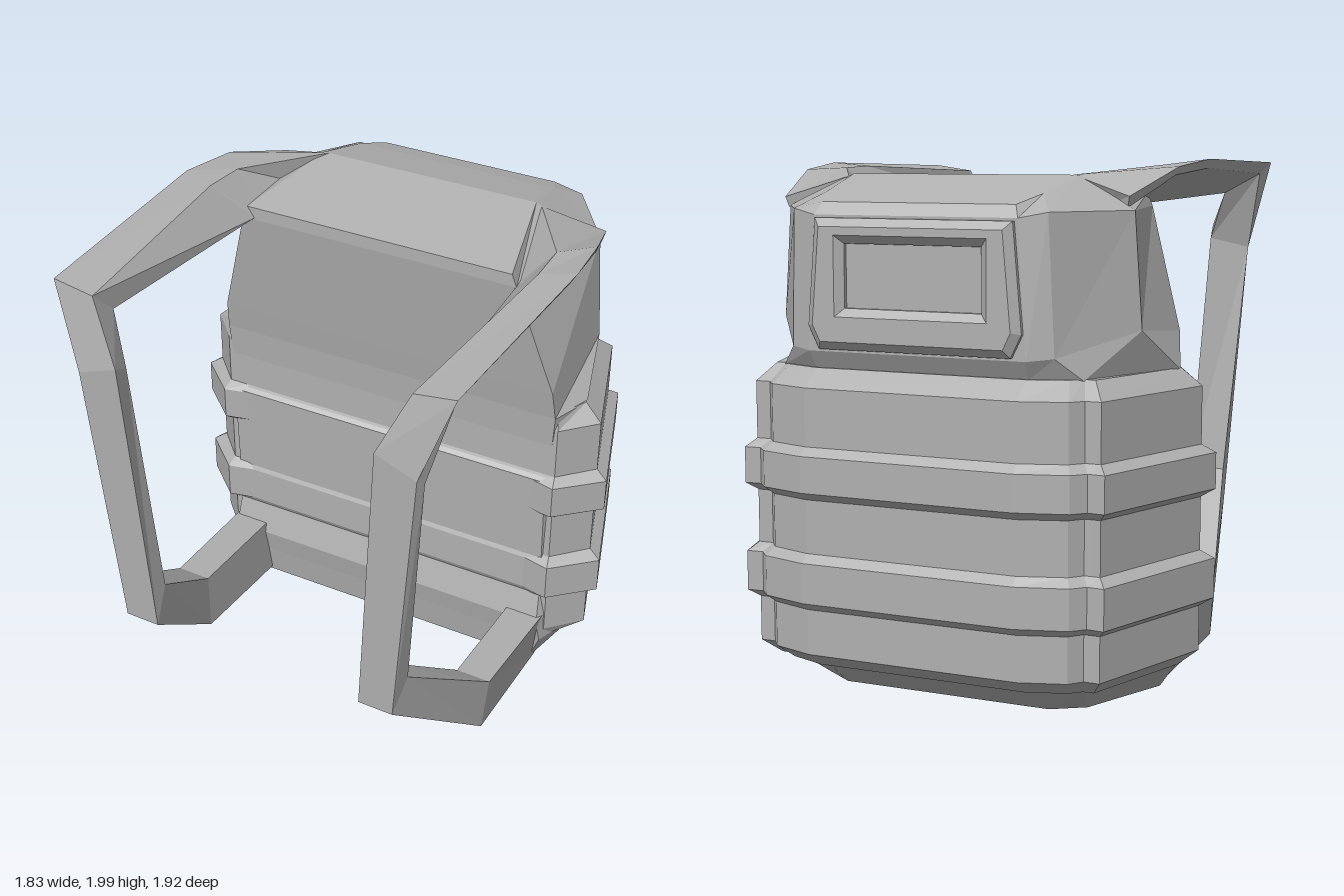
import * as THREE from 'three';

// Flat-faced skin through a stack of rings, with both ends closed by strips
function loft(rings) {
  const pos = [];
  const quad = (a, b, c, d) => [a, b, c, a, c, d].forEach(p => pos.push(...p));
  const n = rings[0].length;
  for (let i = 0; i < rings.length - 1; i++) {
    const lo = rings[i], hi = rings[i + 1];
    for (let j = 0; j < n; j++) {
      const k = (j + 1) % n;
      quad(lo[j], lo[k], hi[k], hi[j]);
    }
  }
  const first = rings[0], last = rings[rings.length - 1];
  for (let k = 0; k < n / 2 - 1; k++) {
    quad(last[k], last[k + 1], last[n - 2 - k], last[n - 1 - k]);
    quad(first[n - 1 - k], first[n - 2 - k], first[k + 1], first[k]);
  }
  const g = new THREE.BufferGeometry();
  g.setAttribute('position', new THREE.Float32BufferAttribute(pos, 3));
  g.computeVertexNormals();
  return g;
}

// Full ring from the +x half outline [x, z, own y], listed front to back
function ring(y, half) {
  const right = half.map(([x, z, py]) => [x, py ?? y, z]);
  const left = right.map(([x, py, z]) => [-x, py, z]).reverse();
  return [...right, ...left];
}

export function createModel() {
  const model = new THREE.Group();
  const fabric = new THREE.MeshStandardMaterial({ color: 0xb0b0b0 });
  fabric.name = 'grey fabric';
  const add = (name, geometry, parent = model) => {
    const mesh = new THREE.Mesh(geometry, fabric);
    mesh.name = name;
    parent.add(mesh);
    return mesh;
  };

  // Main bag: front corner, side, rear corner, rear edge at each height
  add('bagBody', loft([
    ring(0.01, [[0.68, -0.14], [0.69, -0.2], [0.54, -0.56], [0.42, -0.64]]),
    ring(0.14, [[0.73, -0.12], [0.79, -0.28], [0.6, -0.74], [0.42, -0.81]]),
    ring(0.24, [[0.72, -0.1], [0.79, -0.28], [0.6, -0.76], [0.42, -0.83]]),
    ring(0.38, [[0.71, -0.14], [0.79, -0.28], [0.6, -0.76], [0.42, -0.83]]),
    ring(0.94, [[0.71, -0.12], [0.79, -0.28], [0.6, -0.76], [0.42, -0.83]]),
    ring(0.97, [[0.71, -0.15], [0.79, -0.28], [0.6, -0.76], [0.42, -0.83]]),
    ring(1.24, [[0.73, -0.13], [0.79, -0.3], [0.6, -0.76], [0.42, -0.83]]),
    ring(1.36, [[0.72, -0.11], [0.73, -0.54, 1.4], [0.52, -0.83, 1.32], [0.43, -0.87, 1.31]]),
    ring(1.82, [[0.58, -0.04], [0.7, -0.54], [0.5, -0.84], [0.4, -0.87, 1.8]]),
    ring(1.87, [[0.56, -0.04], [0.46, -0.47, 1.94], [0.43, -0.72, 1.88], [0.38, -0.84, 1.845]]),
  ]));

  // Wrap-around pouch with a groove at each rear corner
  const pouchEnd = [[0.66, -0.16], [0.73, -0.17], [0.79, -0.29], [0.64, -0.75],
    [0.6, -0.75], [0.56, -0.79], [0.42, -0.84]];
  const pouchWall = [[0.66, -0.14], [0.74, -0.14], [0.865, -0.27], [0.69, -0.82],
    [0.63, -0.82], [0.59, -0.87], [0.42, -0.925]];
  add('pouch', loft([
    ring(0.13, pouchEnd), ring(0.19, pouchWall),
    ring(1.18, pouchWall), ring(1.245, pouchEnd),
  ]));

  // Two raised bands around the pouch
  const bandWall = [[0.64, -0.125], [0.75, -0.1], [0.915, -0.25], [0.72, -0.86],
    [0.655, -0.855], [0.61, -0.905], [0.42, -0.96]];
  for (const [name, y0, y1] of [['lowerBand', 0.36, 0.57], ['upperBand', 0.77, 0.965]]) {
    add(name, loft([
      ring(y0, pouchWall), ring(y0 + 0.03, bandWall),
      ring(y1 - 0.03, bandWall), ring(y1, pouchWall),
    ]));
  }

  // Framed recess on the upper back
  const frame = new THREE.Shape([[-0.36, 1.35], [0.36, 1.35], [0.39, 1.41], [0.36, 1.76],
    [-0.36, 1.76], [-0.39, 1.41]].map(p => new THREE.Vector2(...p)));
  frame.holes.push(new THREE.Path([[-0.3, 1.44], [-0.3, 1.73], [0.3, 1.73], [0.3, 1.44]]
    .map(p => new THREE.Vector2(...p))));
  const frameGeo = new THREE.ExtrudeGeometry(frame, {
    depth: 0.02, bevelEnabled: true, bevelThickness: 0.025, bevelSize: 0.03, bevelSegments: 1,
  });
  frameGeo.translate(0, 0, -0.885);
  add('backPocketFrame', frameGeo);

  // Shoulder straps: outer-side, inner-side, inner-side lower, outer-side lower corners
  const strapRings = [
    [[0.7, 1.86, -0.54], [0.46, 1.935, -0.47], [0.5, 1.8, -0.42], [0.69, 1.82, -0.53]],
    [[0.78, 1.96, -0.24], [0.67, 1.965, -0.12], [0.54, 1.82, -0.08], [0.77, 1.93, -0.25]],
    [[0.81, 1.985, 0.02], [0.68, 1.97, 0.06], [0.55, 1.82, -0.04], [0.79, 1.95, 0.04]],
    [[0.78, 1.965, 0.91], [0.62, 1.94, 0.91], [0.61, 1.84, 0.81], [0.75, 1.92, 0.85]],
    [[0.67, 1.64, 0.96], [0.51, 1.7, 0.96], [0.53, 1.65, 0.87], [0.68, 1.61, 0.92]],
    [[0.58, 0.53, 0.92], [0.44, 0.53, 0.92], [0.45, 0.67, 0.84], [0.6, 0.66, 0.84]],
    [[0.7, 0.06, 0.37], [0.57, 0.06, 0.37], [0.58, 0.3, 0.36], [0.72, 0.3, 0.36]],
    [[0.69, 0.015, -0.18], [0.57, 0.015, -0.18], [0.58, 0.27, -0.18], [0.73, 0.27, -0.18]],
  ];
  const straps = new THREE.Group();
  straps.name = 'shoulderStraps';
  straps.rotation.z = -0.012;
  add('leftStrap', loft(strapRings), straps);
  add('rightStrap', loft(strapRings.map(r => r.map(([x, y, z]) => [-x, y, z]).reverse())), straps);
  model.add(straps);

  return model;
}
